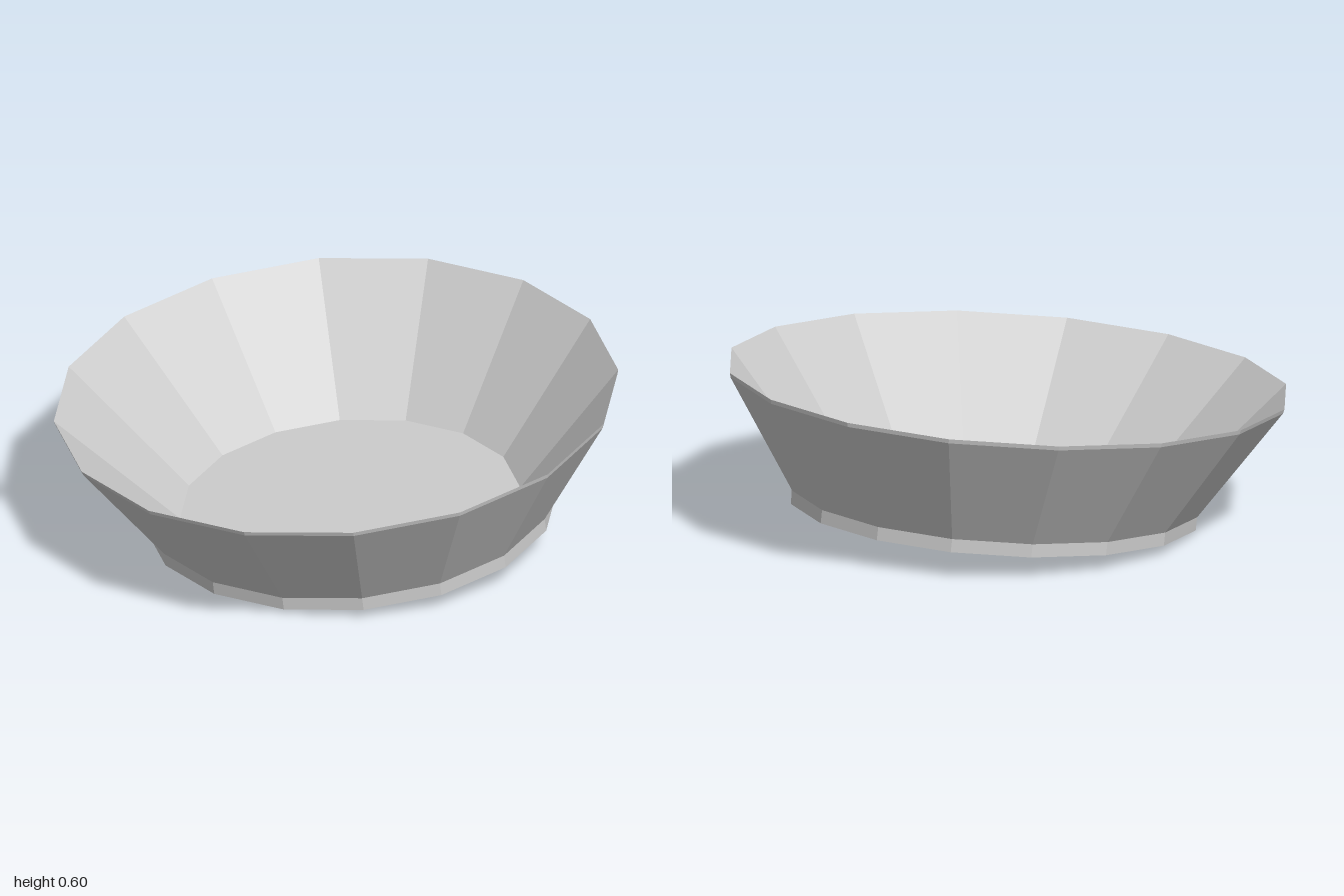
import * as THREE from 'three';

const SIDES = 16;
const RIM_Y = 0.5275;

// Faceted ring of revolution, leaned so the whole dish sits on a slight tilt
function tiltedLathe(name, profile, material) {
  const points = profile.map(([r, y]) => new THREE.Vector2(r, y));
  const geometry = new THREE.LatheGeometry(points, SIDES, THREE.MathUtils.degToRad(7.2));
  const p = geometry.attributes.position;
  for (let i = 0; i < p.count; i++) {
    const x = p.getX(i), y = p.getY(i), z = p.getZ(i);
    const drop = (RIM_Y - y) / 0.45;
    p.setXYZ(i, x + 0.036 * drop, y + 0.047 * x - 0.061 * z, z - 0.043 * drop);
  }
  geometry.computeVertexNormals();
  const mesh = new THREE.Mesh(geometry, material);
  mesh.name = name;
  return mesh;
}

export function createModel() {
  const model = new THREE.Group();
  model.name = 'bowl';
  const material = new THREE.MeshStandardMaterial({ color: 0xcccccc, flatShading: true });

  // Recessed underside and short upright foot
  model.add(tiltedLathe('footRing', [
    [0, 0.08], [0.7, 0.08], [0.7, 0.057], [0.735, 0.057], [0.735, 0.105],
  ], material));

  // Flaring outer wall with a thin lip at the rim
  model.add(tiltedLathe('outerWall', [
    [0.735, 0.105], [1.003, 0.512], [1.007, RIM_Y],
  ], material));

  // Sloping inside wall down to the flat floor
  model.add(tiltedLathe('innerWall', [[1.007, RIM_Y], [0.607, 0.085]], material));
  model.add(tiltedLathe('floor', [[0.607, 0.085], [0, 0.085]], material));

  return model;
}
